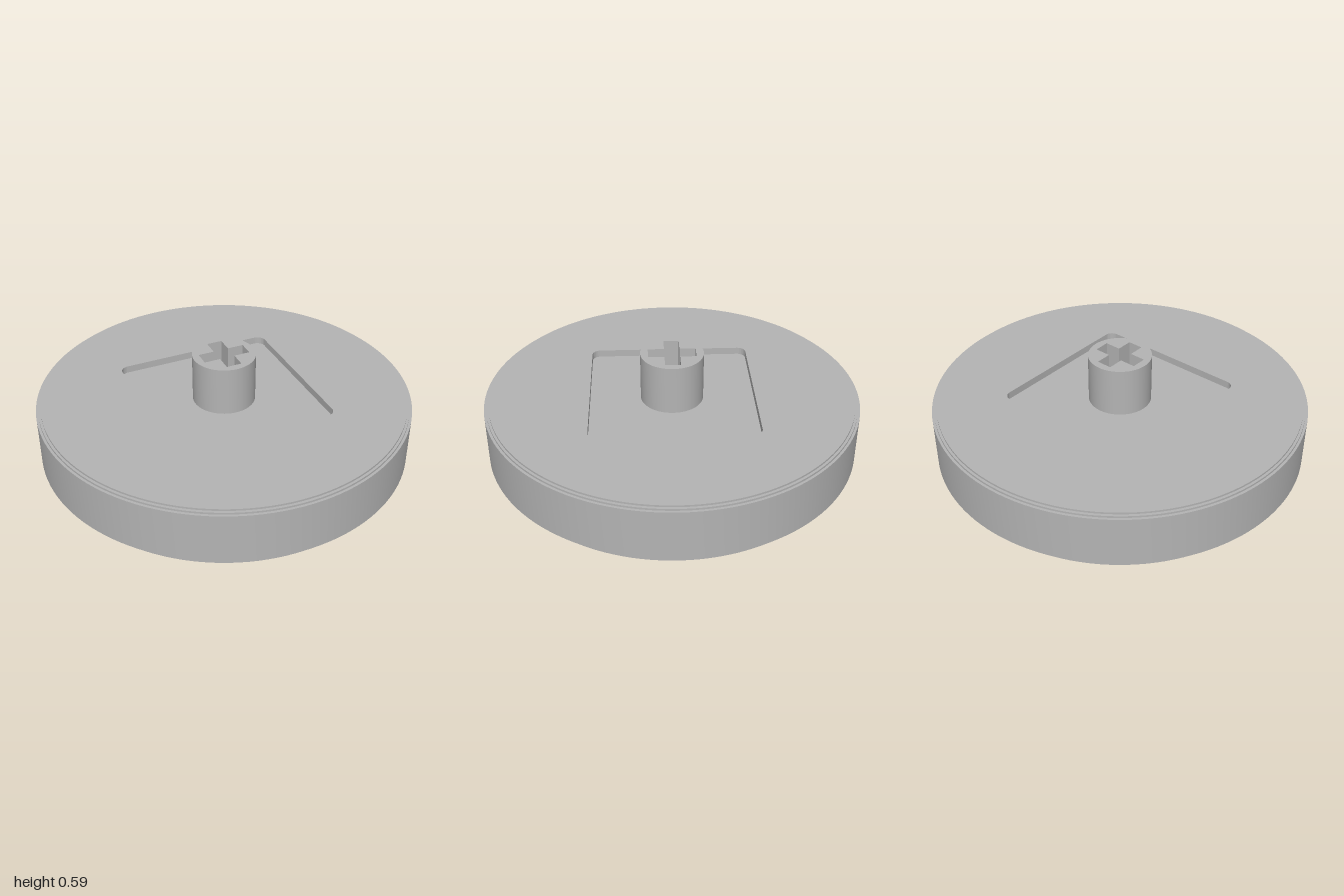
import * as THREE from 'three';
import { toCreasedNormals } from 'three/addons/utils/BufferGeometryUtils.js';

const grey = new THREE.MeshStandardMaterial({ color: 0xb4b4b4 });
grey.name = 'grey plastic';

const H = 0.363;       // top of the disc
const POCKET = 0.323;  // floor of the square pocket
const DEPTH = 0.05;    // depth of the grooves underneath
const STEM_TOP = 0.59;

function part(name, geometry) {
  const mesh = new THREE.Mesh(toCreasedNormals(geometry, 0.5), grey);
  mesh.name = name;
  return mesh;
}

// Extrudes a plan shape upward from y0 to y1
function slab(shape, y0, y1, curveSegments = 48) {
  return new THREE.ExtrudeGeometry(shape, { depth: y1 - y0, bevelEnabled: false, curveSegments })
    .rotateX(-Math.PI / 2).translate(0, y0, 0);
}

function circle(r) {
  return new THREE.Shape().absarc(0, 0, r, 0, Math.PI * 2, false);
}

function roundedSquare(h, r) {
  const p = new THREE.Path();
  [[1, 1], [-1, 1], [-1, -1], [1, -1]].forEach(([sx, sy], i) => {
    p.absarc(sx * (h - r), sy * (h - r), r, i * Math.PI / 2, (i + 1) * Math.PI / 2, false);
  });
  return p.closePath();
}

function cross(l, w) {
  return new THREE.Path([
    [l, -w], [l, w], [w, w], [w, l], [-w, l], [-w, w],
    [-l, w], [-l, -w], [-w, -w], [-w, -l], [w, -l], [w, -w], [l, -w],
  ].map(([x, y]) => new THREE.Vector2(x, y)));
}

// Disc with twelve round-ended slots cut in from its rim
function slottedDisc(R, inner, hw) {
  const s = new THREE.Shape();
  const step = Math.PI / 6, d = Math.asin(hw / R), c = inner + hw;
  for (let i = 0; i < 12; i++) {
    const a = (i + 0.5) * step;
    s.absarc(0, 0, R, a - step + d, a - d, false);
    s.absarc(c * Math.cos(a), c * Math.sin(a), hw, a - Math.PI / 2, a - Math.PI * 1.5, true);
  }
  return s.closePath();
}

export function createModel() {
  const model = new THREE.Group();
  model.name = 'disc with stem';

  // Body: recessed underside, ring groove, stepped lower and upper edges
  const profile = [
    [0, DEPTH], [0.762, DEPTH], [0.762, 0], [0.867, 0],
    [0.867, DEPTH], [0.905, DEPTH], [0.905, 0],
  ];
  for (let i = 0; i < 6; i++) {
    const r = 0.94 + i * 0.01;
    profile.push([r, i * 0.011], [r, (i + 1) * 0.011]);
  }
  profile.push([1, 0.066], [1, 0.343], [0.987, 0.343], [0.987, 0.353], [0.974, 0.353]);
  model.add(part('body', new THREE.LatheGeometry(
    profile.map(([x, y]) => new THREE.Vector2(x, y)), 128)));

  // Top layer with the square pocket, and the pocket floor
  const top = circle(0.974);
  top.holes.push(roundedSquare(0.44, 0.045));
  model.add(part('topPlate', slab(top, POCKET, H, 64)));
  model.add(part('pocketFloor', slab(circle(0.66), POCKET - 0.01, POCKET)));

  // Underside centre with radial slots
  model.add(part('slottedBase', slab(slottedDisc(0.707, 0.517, 0.027), 0, DEPTH, 16)));

  // Stem with a cross-shaped socket
  const stem = circle(0.168);
  stem.holes.push(cross(0.127, 0.041));
  model.add(part('stem', slab(stem, POCKET, STEM_TOP)));
  model.add(part('socketFloor', slab(circle(0.15), POCKET, POCKET + 0.03)));

  return model;
}
